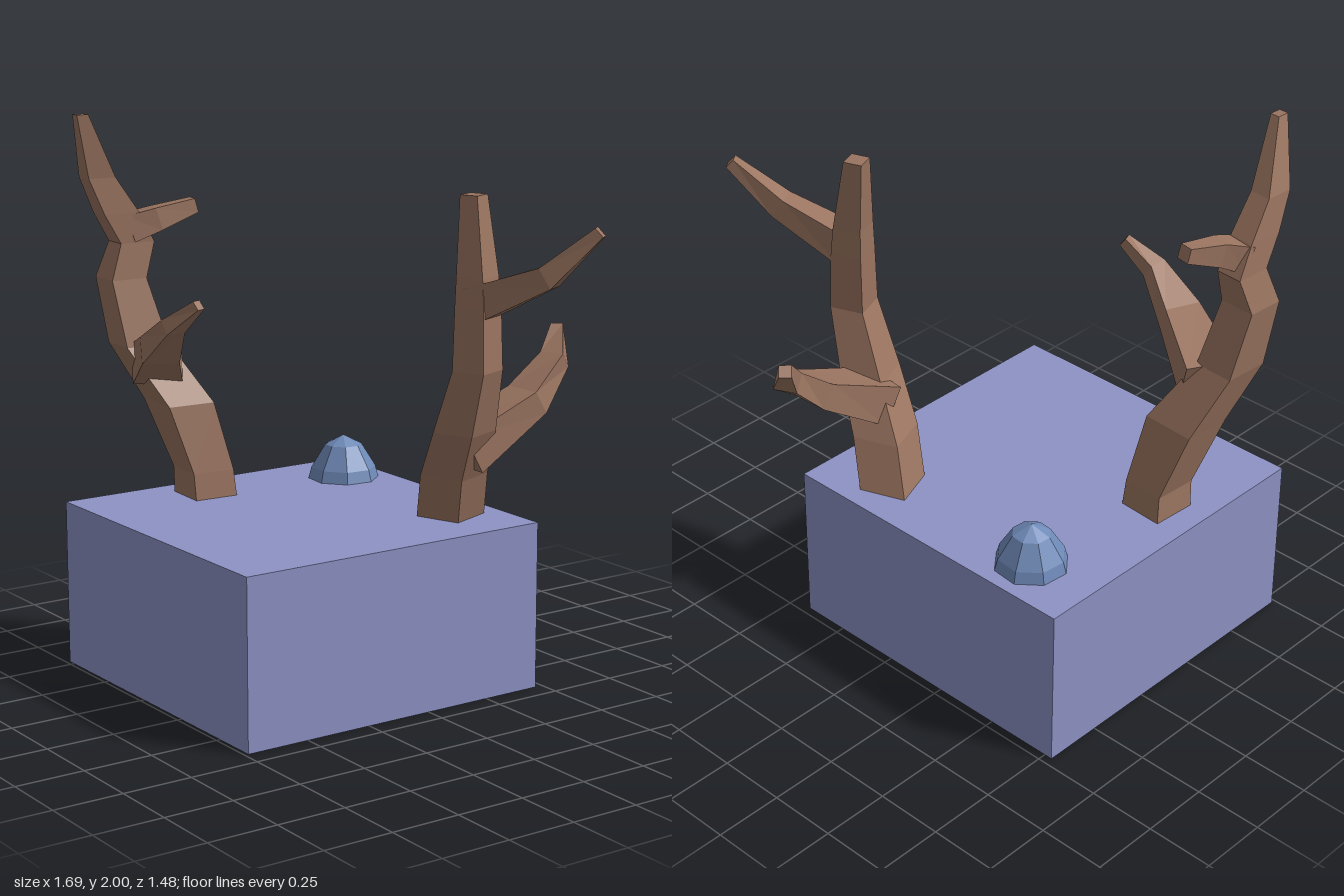
import * as THREE from 'three';

const mat = (color) => new THREE.MeshStandardMaterial({ color, flatShading: true });

// Four-sided limb lofted through rings [x, y, z, halfU, halfV].
// With a turn angle the rings lie flat (trunk); without, they follow the path (branch).
function limb(name, rings, material, turn) {
  const up = new THREE.Vector3(0, 1, 0);
  const centres = rings.map(([x, y, z]) => new THREE.Vector3(x, y, z));
  const pos = [], index = [];
  rings.forEach(([, , , hu, hv = hu], i) => {
    const t = up.clone(), u = new THREE.Vector3();
    if (turn === undefined) {
      const next = centres[Math.min(i + 1, centres.length - 1)];
      t.subVectors(next, centres[Math.max(i - 1, 0)]).normalize();
      u.crossVectors(up, t).normalize();
    } else {
      u.set(Math.cos(turn), 0, Math.sin(turn));
    }
    const v = new THREE.Vector3().crossVectors(t, u);
    for (const [a, b] of [[-1, -1], [1, -1], [1, 1], [-1, 1]]) {
      const p = centres[i].clone().addScaledVector(u, a * hu).addScaledVector(v, b * hv);
      pos.push(p.x, p.y, p.z);
    }
    if (i === 0) return;
    for (let k = 0; k < 4; k++) {
      const b = i * 4 + k, b2 = i * 4 + (k + 1) % 4;
      index.push(b - 4, b2 - 4, b2, b - 4, b2, b);
    }
  });
  const e = (rings.length - 1) * 4;
  index.push(0, 2, 1, 0, 3, 2, e, e + 1, e + 2, e, e + 2, e + 3);
  const geo = new THREE.BufferGeometry();
  geo.setAttribute('position', new THREE.Float32BufferAttribute(pos, 3));
  geo.setIndex(index);
  const flat = geo.toNonIndexed();
  flat.computeVertexNormals();
  const mesh = new THREE.Mesh(flat, material);
  mesh.name = name;
  return mesh;
}

export function createModel() {
  const model = new THREE.Group();
  model.name = 'deadTreesOnBlock';
  const wood = mat(0x9a7460);

  // Ground block
  const block = new THREE.Mesh(new THREE.BoxGeometry(1.206, 0.602, 1.206), mat(0x8d92c4));
  block.name = 'groundBlock';
  block.position.set(-0.178, 0.301, 0.133);
  model.add(block);

  // Faceted rock
  const profile = [[0.132, 0], [0.12, 0.045], [0.068, 0.13], [0, 0.165]];
  const rock = new THREE.Mesh(
    new THREE.LatheGeometry(profile.map(([r, y]) => new THREE.Vector2(r, y)), 8), mat(0x6f8ab8));
  rock.name = 'rock';
  rock.position.set(-0.518, 0.6, -0.298);
  rock.rotation.y = 0.3;
  model.add(rock);

  // Front tree: S-curved trunk, long side branch, short upper stub
  const frontTree = new THREE.Group();
  frontTree.name = 'frontTree';
  frontTree.add(
    limb('frontTrunk', [
      [-0.6, 0.6, 0.257, 0.085, 0.083],
      [-0.6, 0.7, 0.265, 0.079, 0.081],
      [-0.65, 0.95, 0.335, 0.1, 0.09],
      [-0.74, 1.16, 0.445, 0.076, 0.084],
      [-0.772, 1.4, 0.495, 0.068, 0.068],
      [-0.757, 1.53, 0.458, 0.05, 0.066],
      [-0.752, 1.64, 0.522, 0.047, 0.068],
      [-0.747, 1.77, 0.598, 0.04, 0.052],
      [-0.693, 2.0, 0.69, 0.018, 0.022],
    ], wood, 0.06),
    limb('frontLongBranch', [
      [-0.68, 1.09, 0.405, 0.09, 0.075],
      [-0.44, 1.19, 0.535, 0.066, 0.05],
      [-0.285, 1.3, 0.573, 0.036, 0.03],
      [-0.18, 1.385, 0.533, 0.018],
    ], wood),
    limb('frontShortBranch', [
      [-0.75, 1.58, 0.47, 0.05],
      [-0.71, 1.612, 0.38, 0.038, 0.042],
      [-0.685, 1.652, 0.238, 0.026],
    ], wood));
  model.add(frontTree);

  // Back tree: leaning trunk, one branch to the side, one to the back
  const backTree = new THREE.Group();
  backTree.name = 'backTree';
  backTree.add(
    limb('backTrunk', [
      [0.16, 0.6, -0.288, 0.086],
      [0.235, 0.77, -0.245, 0.085],
      [0.352, 0.95, -0.2, 0.078],
      [0.447, 1.18, -0.18, 0.062],
      [0.44, 1.4, -0.185, 0.057],
      [0.433, 1.5, -0.187, 0.052],
      [0.392, 1.77, -0.2, 0.034],
    ], wood, -0.36),
    limb('backSideBranch', [
      [0.44, 1.405, -0.185, 0.055, 0.062],
      [0.69, 1.52, -0.285, 0.038, 0.04],
      [0.825, 1.678, -0.388, 0.02],
    ], wood),
    limb('backRearBranch', [
      [0.3, 0.87, -0.22, 0.09, 0.075],
      [0.32, 1.02, -0.5, 0.074, 0.047],
      [0.283, 1.14, -0.65, 0.044, 0.036],
      [0.214, 1.24, -0.718, 0.022],
    ], wood));
  model.add(backTree);

  return model;
}
